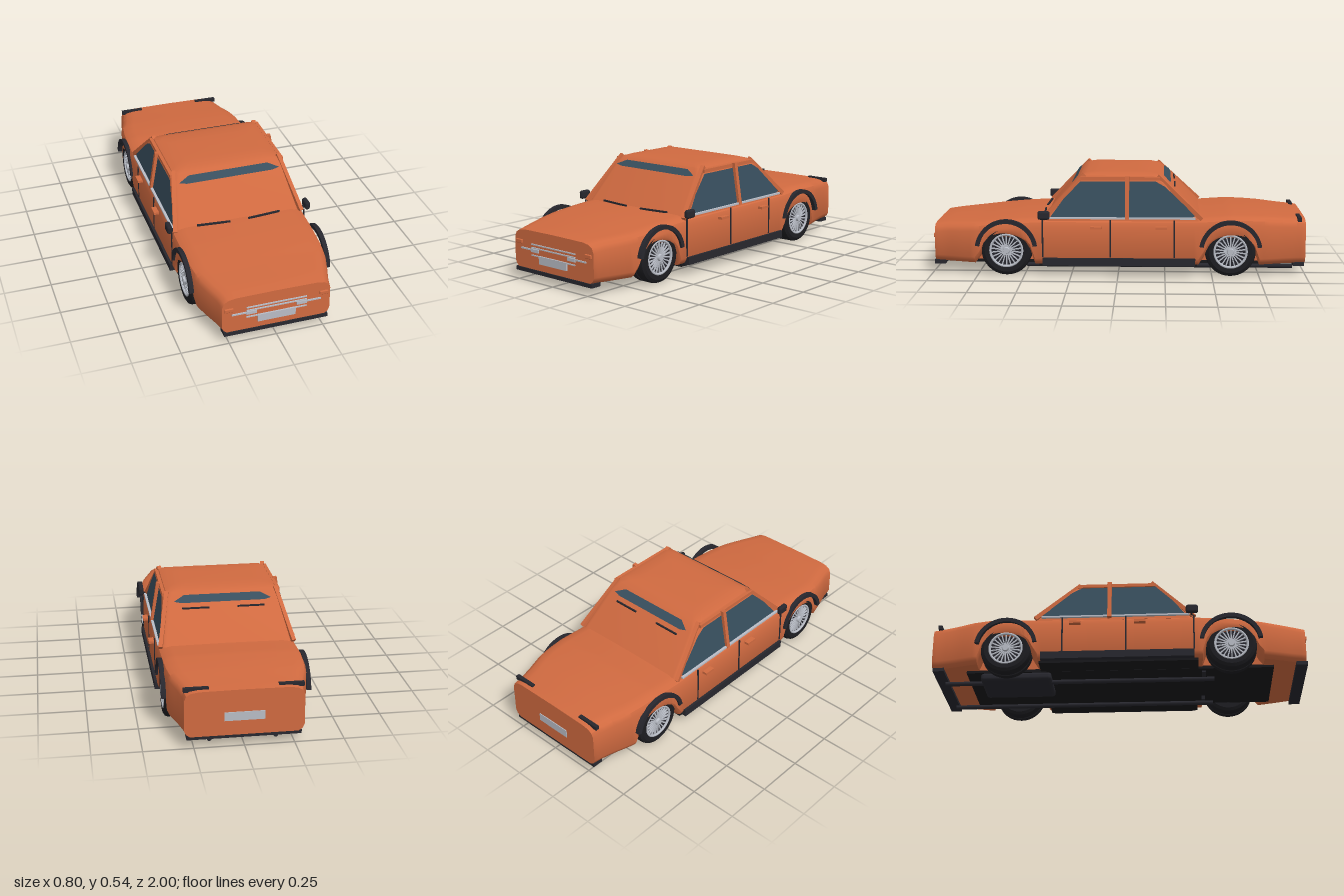
import * as THREE from 'three';
import { toCreasedNormals } from 'three/addons/utils/BufferGeometryUtils.js';
import { RoundedBoxGeometry } from 'three/addons/geometries/RoundedBoxGeometry.js';

const material = (name, color, side = THREE.FrontSide) => {
  const m = new THREE.MeshStandardMaterial({ color, side });
  m.name = name;
  return m;
};

export function createModel() {
  const car = new THREE.Group();
  car.name = 'car';
  const paint = material('orange paint', 0xd06a40);
  const trim = material('dark trim', 0x27272e);
  const rubber = material('tyre rubber', 0x1d1d21);
  const under = material('underbody black', 0x18181b);
  const glass = material('window glass', 0x384f5e, THREE.DoubleSide);
  const silver = material('silver', 0xb9bdc6);

  const add = (name, geo, mat, x = 0, y = 0, z = 0, parent = car) => {
    const m = new THREE.Mesh(geo, mat);
    m.name = name;
    m.position.set(x, y, z);
    parent.add(m);
    return m;
  };
  const box = (name, mat, w, h, d, x, y, z, parent) =>
    add(name, new THREE.BoxGeometry(w, h, d), mat, x, y, z, parent);
  // Square bar between two points
  const beam = (name, mat, a, b, t, u = t) => {
    const A = new THREE.Vector3(...a), B = new THREE.Vector3(...b);
    const m = add(name, new THREE.BoxGeometry(t, u, A.distanceTo(B)), mat);
    m.position.copy(A).add(B).multiplyScalar(0.5);
    m.lookAt(B);
  };
  // Skin over closed rings, capped at both ends
  const loft = (rings, crease) => {
    const n = rings[0].length, pos = rings.flat(2), idx = [];
    for (let i = 0; i < rings.length - 1; i++) {
      for (let j = 0; j < n; j++) {
        const k = (j + 1) % n, a = i * n + j, b = i * n + k;
        idx.push(a, b, b + n, a, b + n, a + n);
      }
    }
    [0, rings.length - 1].forEach((r, end) => {
      const c = pos.length / 3;
      for (let q = 0; q < 3; q++) pos.push(rings[r].reduce((s, p) => s + p[q], 0) / n);
      for (let j = 0; j < n; j++) {
        const a = r * n + j, b = r * n + (j + 1) % n;
        idx.push(c, ...(end ? [a, b] : [b, a]));
      }
    });
    const g = new THREE.BufferGeometry();
    g.setAttribute('position', new THREE.Float32BufferAttribute(pos, 3));
    g.setIndex(idx);
    return toCreasedNormals(g, crease);
  };
  // Flat outline placed in space by a rule
  const plate = (name, mat, pts, place) => {
    const g = new THREE.ShapeGeometry(new THREE.Shape(pts.map(p => new THREE.Vector2(...p))));
    const p = g.attributes.position;
    for (let i = 0; i < p.count; i++) p.setXYZ(i, ...place(p.getX(i), p.getY(i)));
    g.computeVertexNormals();
    add(name, g, mat);
  };

  // Lower body: z, half width, top height
  const keys = [
    [0.99, 0.285, 0.268], [0.93, 0.298, 0.276], [0.85, 0.325, 0.281], [0.76, 0.352, 0.287],
    [0.68, 0.363, 0.295], [0.55, 0.368, 0.306], [0.4, 0.37, 0.314], [-0.44, 0.37, 0.316],
    [-0.6, 0.368, 0.327], [-0.7, 0.362, 0.324], [-0.78, 0.35, 0.32], [-0.88, 0.32, 0.312],
    [-0.95, 0.304, 0.307], [-1, 0.298, 0.302]];
  const station = z => {
    let i = 0;
    while (i < keys.length - 2 && z < keys[i + 1][0]) i++;
    const [a, b] = [keys[i], keys[i + 1]], t = (z - a[0]) / (b[0] - a[0]);
    return [a[1] + (b[1] - a[1]) * t, a[2] + (b[2] - a[2]) * t];
  };
  const AXLES = [0.595, -0.597], FLOOR = 0.065;
  const rings = [];
  for (let i = 0; i <= 80; i++) {
    const z = 0.99 - 1.99 * i / 80;
    const [w, top] = station(z);
    let arch = 0;
    AXLES.forEach(a => { arch = Math.max(arch, 1 - ((z - a) / 0.15) ** 2); });
    const low = FLOOR + 0.14 * Math.sqrt(arch);
    const half = [
      [w - 0.075, top], [w - 0.035, top - 0.006], [w - 0.012, top - 0.02], [w - 0.001, top - 0.045],
      [w, low + 0.035], [w - 0.01, low + 0.014], [w - 0.03, low], [0.24, low], [0.238, FLOOR]];
    const left = half.map(([x, y]) => [x, y, z]);
    const right = half.map(([x, y]) => [-x, y, z]).reverse();
    rings.push([[0, top + 0.002, z], ...left, [0, FLOOR, z], ...right]);
  }
  add('lowerBody', loft(rings, 0.6), paint);

  // Cabin: height, half width, front z, back z, corner radius
  const cabin = [
    [0.549, 0.2, 0.1, -0.1, 0.04], [0.546, 0.265, 0.17, -0.185, 0.04], [0.535, 0.297, 0.202, -0.222, 0.04],
    [0.5, 0.315, 0.235, -0.265, 0.035], [0.3, 0.35, 0.4, -0.455, 0.03]];
  add('cabin', loft(cabin.map(([y, w, f, b, r]) => {
    const ring = [];
    for (let c = 0; c < 4; c++) {
      for (let k = 0; k <= 5; k++) {
        const t = (c + k / 5) * Math.PI / 2;
        const cx = c === 0 || c === 3 ? w - r : r - w, cz = c < 2 ? f - r : b + r;
        ring.push([cx + r * Math.cos(t), y, cz + r * Math.sin(t)]);
      }
    }
    return ring;
  }), 0.5), paint);

  // Windscreen and rear window strips
  const strip = [[-0.28, 0.5], [-0.24, 0.493], [0.24, 0.493], [0.28, 0.5], [0.22, 0.525], [-0.22, 0.525]];
  plate('windscreen', glass, strip, (x, y) => [x, y, 0.243 - (y - 0.5) * 0.9]);
  plate('rearWindow', glass, strip.map(([x, y]) => [x * 0.93, y]), (x, y) => [x, y, -0.273 + (y - 0.5) * 1.15]);

  for (const s of [1, -1]) {
    // Side windows, pillars and waist strip
    const sideX = y => s * (0.356 - (y - 0.3) * 0.175);
    plate('sideWindow', glass,
      [[0.36, 0.32], [0.29, 0.415], [0.2, 0.508], [-0.2, 0.508], [-0.25, 0.48], [-0.41, 0.33], [-0.39, 0.32]],
      (z, y) => [sideX(y), y, z]);
    beam('frontPillar', paint, [s * 0.352, 0.305, 0.405], [s * 0.293, 0.542, 0.18], 0.022);
    beam('middlePillar', paint, [s * 0.358, 0.31, -0.048], [s * 0.322, 0.535, -0.048], 0.022);
    beam('rearPillar', paint, [s * 0.352, 0.312, -0.445], [s * 0.293, 0.535, -0.21], 0.022);
    beam('roofRail', paint, [s * 0.309, 0.522, 0.2], [s * 0.309, 0.522, -0.22], 0.018);
    box('waistStrip', silver, 0.014, 0.009, 0.79, s * 0.359, 0.317, -0.015);

    // Doors, handles and sill
    for (const z of [0.4, 0.04, -0.298]) box('doorGap', trim, 0.006, 0.2, 0.008, s * 0.37, 0.208, z);
    for (const z of [0.115, -0.23]) box('doorHandle', paint, 0.028, 0.013, 0.06, s * 0.383, 0.269, z);
    box('sill', trim, 0.03, 0.04, 0.81, s * 0.369, 0.084, -0.005);

    // Mirror
    add('mirror', new RoundedBoxGeometry(0.028, 0.046, 0.065, 2, 0.012), trim, s * 0.384, 0.335, 0.392);
    beam('mirrorStalk', trim, [s * 0.35, 0.312, 0.39], [s * 0.38, 0.325, 0.39], 0.012);

    // Wipers and tail strips
    beam('frontWiper', trim, [s * 0.05, 0.318, 0.408], [s * 0.23, 0.322, 0.398], 0.009);
    beam('rearWiper', trim, [s * 0.075, 0.47, -0.302], [s * 0.22, 0.47, -0.302], 0.008);
    box('tailStrip', trim, 0.125, 0.022, 0.02, s * 0.235, 0.303, -0.967);

    // Nose lamps and grille blocks
    add('noseLamp', new RoundedBoxGeometry(0.046, 0.021, 0.012, 2, 0.004), paint, s * 0.25, 0.203, 0.992);
    box('grilleBlock', silver, 0.054, 0.017, 0.01, s * 0.133, 0.168, 0.992);
    box('grilleWing', silver, 0.13, 0.008, 0.008, s * 0.17, 0.171, 0.992);

    // Exhaust pipes
    const pipe = new THREE.CylinderGeometry(0.012, 0.012, 1.45, 12).rotateX(Math.PI / 2);
    add('exhaustPipe', pipe, trim, s * 0.166, 0.023, -0.22);
    beam('pipeHanger', trim, [s * 0.13, 0.04, 0.45], [s * 0.21, 0.055, 0.45], 0.02);
  }

  // Grille bars and plates
  for (const y of [0.2, 0.182, 0.143]) box('grilleBar', silver, 0.318, 0.006, 0.008, 0, y, 0.992);
  box('frontPlate', silver, 0.2, 0.042, 0.009, 0, 0.126, 0.994);
  box('rearPlate', silver, 0.2, 0.045, 0.008, 0, 0.165, -1);

  // Bumper lips and underside
  box('frontLip', trim, 0.55, 0.02, 0.06, 0, 0.058, 0.966);
  box('rearLip', trim, 0.57, 0.02, 0.06, 0, 0.058, -0.966);
  box('floor', under, 0.48, 0.016, 1.64, 0, 0.06, 0);
  box('middleFloor', under, 0.7, 0.014, 0.84, 0, 0.06, 0);
  add('fuelTank', new RoundedBoxGeometry(0.256, 0.045, 0.38, 3, 0.018), trim, -0.112, 0.032, -0.555);

  // Wheels with wire spokes
  const profile = [[0.086, -0.056], [0.115, -0.058], [0.13, -0.049], [0.135, -0.036], [0.135, -0.006],
    [0.13, -0.004], [0.13, 0.004], [0.135, 0.006], [0.135, 0.036], [0.13, 0.049], [0.115, 0.058], [0.086, 0.056]];
  const tyre = toCreasedNormals(
    new THREE.LatheGeometry(profile.map(p => new THREE.Vector2(...p)), 40).rotateZ(-Math.PI / 2), 0.6);
  const disc = new THREE.CylinderGeometry(0.088, 0.088, 0.09, 32).rotateZ(Math.PI / 2);
  const rim = new THREE.TorusGeometry(0.086, 0.007, 8, 40).rotateY(Math.PI / 2);
  const hub = new THREE.CylinderGeometry(0.016, 0.022, 0.024, 16).rotateZ(-Math.PI / 2);
  const spoke = new THREE.BoxGeometry(0.008, 0.07, 0.0065).translate(0, 0.05, 0);

  // Arch moulding: half ring
  const ring = new THREE.Shape();
  ring.absarc(0, 0, 0.167, 0.16, Math.PI - 0.16, false);
  ring.absarc(0, 0, 0.145, Math.PI - 0.16, 0.16, true);
  const moulding = new THREE.ExtrudeGeometry(ring, { depth: 0.024, bevelEnabled: false, curveSegments: 24 })
    .translate(0, 0, -0.012).rotateY(Math.PI / 2);

  for (const z of AXLES) {
    for (const s of [1, -1]) {
      const wheel = new THREE.Group();
      wheel.name = 'wheel';
      wheel.position.set(s * 0.306, 0.14, z);
      wheel.rotation.y = s > 0 ? 0 : Math.PI;
      car.add(wheel);
      add('tyre', tyre, rubber, 0, 0, 0, wheel);
      add('wheelDisc', disc, trim, 0, 0, 0, wheel);
      add('rim', rim, silver, 0.052, 0, 0, wheel);
      add('hub', hub, silver, 0.052, 0, 0, wheel);
      for (let i = 0; i < 22; i++) {
        add('spoke', spoke, silver, 0.048, 0, 0, wheel).rotation.x = i * Math.PI / 11;
      }
      add('archMoulding', moulding, trim, s * 0.37, 0.142, z);
    }
  }
  // Settle on the ground
  car.children.forEach(c => { c.position.y -= 0.005; });
  return car;
}
